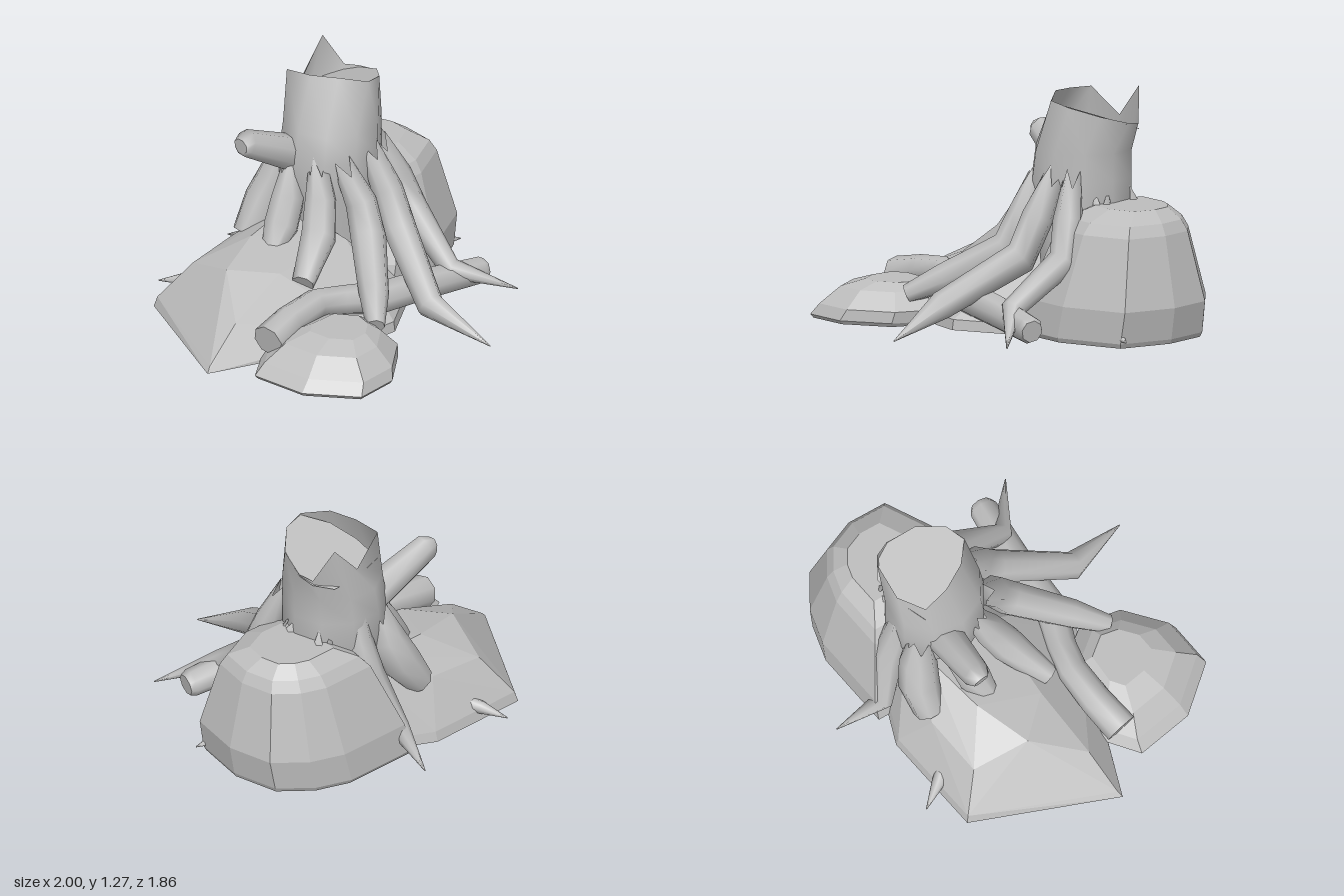
import * as THREE from 'three';
import { ConvexGeometry } from 'three/addons/geometries/ConvexGeometry.js';

const V = (p) => new THREE.Vector3(...p);

// Smooth skin through rings of equal point count; optional flat end caps
function loft(rings, capStart, capEnd) {
  const n = rings[0].length, pos = [], idx = [];
  rings.forEach((r) => r.forEach((p) => pos.push(p.x, p.y, p.z)));
  for (let i = 0; i < rings.length - 1; i++) {
    for (let j = 0; j < n; j++) {
      const a = i * n + j, b = i * n + (j + 1) % n;
      idx.push(a, b, a + n, b, b + n, a + n);
    }
  }
  const cap = (ring, flip) => {
    const s = pos.length / 3, c = new THREE.Vector3();
    ring.forEach((p) => { pos.push(p.x, p.y, p.z); c.addScaledVector(p, 1 / n); });
    pos.push(c.x, c.y, c.z);
    for (let j = 0; j < n; j++) {
      const k = (j + 1) % n;
      if (flip) idx.push(s + n, s + k, s + j); else idx.push(s + n, s + j, s + k);
    }
  };
  if (capStart) cap(rings[0], true);
  if (capEnd) cap(rings[rings.length - 1], false);
  const g = new THREE.BufferGeometry();
  g.setAttribute('position', new THREE.Float32BufferAttribute(pos, 3));
  g.setIndex(idx);
  g.computeVertexNormals();
  return g;
}

// Tapered limb along [x, y, z, radius] points; jag makes a torn first ring
function limb(path, jag = 0, sides = 8) {
  const pts = path.map((p) => V(p.slice(0, 3)));
  let u = new THREE.Vector3(0.3, 0.2, 1);
  const rings = pts.map((p, i) => {
    const d = pts[Math.min(i + 1, pts.length - 1)].clone().sub(pts[Math.max(i - 1, 0)]).normalize();
    u = u.clone().addScaledVector(d, -u.dot(d)).normalize();
    const v = d.clone().cross(u);
    return Array.from({ length: sides }, (_, j) => {
      const a = j / sides * Math.PI * 2, r = path[i][3];
      const q = p.clone().addScaledVector(u, r * Math.cos(a)).addScaledVector(v, r * Math.sin(a));
      return i === 0 && jag ? q.addScaledVector(d, j % 2 ? jag * 0.5 : -jag) : q;
    });
  });
  return loft(rings, !jag, true);
}

// Rock from one outline, stacked as [y, scale, shift x, shift z] layers around a centre
function layeredRock(outline, cx, cz, layers) {
  const pts = [];
  for (const [y, s, dx = 0, dz = 0] of layers) {
    for (const [x, z] of outline) pts.push(V([cx + dx + (x - cx) * s, y, cz + dz + (z - cz) * s]));
  }
  return new ConvexGeometry(pts);
}

export function createModel() {
  const group = new THREE.Group();
  const grey = new THREE.MeshStandardMaterial({ color: 0xbdbdbd, side: THREE.DoubleSide });
  grey.name = 'plain grey';
  const add = (name, geometry) => {
    const m = new THREE.Mesh(geometry, grey);
    m.name = name;
    group.add(m);
  };

  // Trunk with a broken, leaning rim, from the rim down
  const rim = [
    [0.555, 1.11, -0.33], [0.52, 1.155, -0.17], [0.41, 1.2, -0.05], [0.29, 1.225, -0.02], [0.18, 1.25, -0.13],
    [0.12, 1.24, -0.27], [0.1, 1.23, -0.42], [0.28, 1.1, -0.47], [0.44, 1.28, -0.48], [0.53, 1.1, -0.41],
  ].map(V);
  const ring = (cx, cz, r, y) => rim.map((_, j) => {
    const a = j / rim.length * Math.PI * 2;
    return V([cx + r * Math.cos(a), y, cz + r * Math.sin(a)]);
  });
  add('trunk', loft([
    rim, ring(0.265, -0.25, 0.262, 0.95), ring(0.25, -0.25, 0.272, 0.8),
    ring(0.25, -0.25, 0.272, 0.6), ring(0.26, -0.23, 0.22, 0.4), ring(0.27, -0.22, 0.2, 0.08),
  ]));
  // Broken wood inside the rim, sloping down to the back
  add('trunkTop', loft([rim.map((p) => V([p.x, 1.215 + 0.37 * (p.z + 0.02), p.z]))], true, false));

  // Broken side branch
  add('branch', limb([
    [0.1, 0.765, -0.33, 0.1], [0, 0.815, -0.34, 0.095], [-0.27, 0.955, -0.37, 0.073], [-0.31, 0.95, -0.37, 0.045],
  ]));

  // Roots
  const roots = {
    frontRoot: [[0.31, 0.8, -0.01, 0.06], [0.32, 0.62, 0.09, 0.085], [0.31, 0.42, 0.19, 0.09],
      [0.13, 0.18, 0.57, 0.075], [0.2, 0.04, 0.93, 0.003]],
    frontLeftRoot: [[0.43, 0.8, -0.05, 0.05], [0.48, 0.62, 0.01, 0.08], [0.53, 0.42, 0.08, 0.08],
      [0.49, 0.19, 0.38, 0.06], [0.76, 0.05, 0.61, 0.003]],
    frontRightRoot: [[0.13, 0.76, -0.03, 0.06], [0.15, 0.6, 0.06, 0.085], [0.12, 0.43, 0.14, 0.095],
      [-0.1, 0.27, 0.38, 0.08], [-0.24, 0.18, 0.52, 0.05]],
    rightRoot: [[0.04, 0.76, -0.14, 0.05], [0, 0.61, -0.09, 0.085], [-0.08, 0.45, -0.03, 0.095],
      [-0.31, 0.3, 0.07, 0.06]],
    rightBackRoot: [[0.02, 0.72, -0.3, 0.06], [-0.03, 0.58, -0.29, 0.09], [-0.11, 0.44, -0.27, 0.095],
      [-0.23, 0.32, -0.24, 0.05]],
    backRightRoot: [[0.11, 0.74, -0.45, 0.06], [0.09, 0.6, -0.48, 0.1], [0.03, 0.45, -0.52, 0.11],
      [-0.08, 0.29, -0.54, 0.08]],
    backRoot: [[0.27, 0.85, -0.45, 0.04], [0.27, 0.66, -0.47, 0.075], [0.26, 0.46, -0.54, 0.09],
      [0.15, 0.15, -0.66, 0.055], [0.2, 0.04, -0.93, 0.003]],
    leftBackRoot: [[0.45, 0.68, -0.39, 0.05], [0.48, 0.58, -0.41, 0.08], [0.52, 0.4, -0.42, 0.08]],
    leftRoot: [[0.48, 0.68, -0.2, 0.05], [0.52, 0.58, -0.17, 0.08], [0.7, 0.2, -0.1, 0.07],
      [0.9, 0.06, -0.02, 0.025], [0.98, 0.045, 0, 0.003]],
  };
  for (const [name, path] of Object.entries(roots)) add(name, limb(path, 0.07));
  // Root tip showing behind the low rock
  add('rootTip', limb([[-0.32, 0.1, -0.62, 0.04], [-0.37, 0.08, -0.7, 0.035], [-0.44, 0.05, -0.83, 0.003]]));

  // Fallen log lying across the front
  add('fallenLog', limb([
    [-0.74, 0.18, 0.22, 0.09], [-0.55, 0.22, 0.2, 0.085], [-0.35, 0.245, 0.2, 0.08], [-0.2, 0.22, 0.24, 0.08],
    [0, 0.19, 0.33, 0.09], [0.35, 0.15, 0.355, 0.085], [0.68, 0.115, 0.405, 0.075], [0.71, 0.11, 0.41, 0.06],
  ]));

  // Rocks
  add('tallRock', layeredRock(
    [[1, -0.3], [0.96, 0], [0.62, 0.16], [0.3, 0.165], [0.14, 0], [0.1, -0.35], [0.14, -0.72], [0.57, -0.74],
      [0.76, -0.68], [0.93, -0.55]],
    0.6, -0.3, [[0.005, 0.97, -0.03], [0.03, 1, -0.03], [0.2, 0.98, 0.008], [0.57, 0.72, 0.03],
      [0.63, 0.63, 0.035], [0.69, 0.4, 0.04, -0.02]]));
  add('smallRock', layeredRock(
    [[-0.88, 0.25], [-0.86, 0.57], [-0.68, 0.83], [-0.43, 0.82], [-0.2, 0.65], [-0.13, 0.42], [-0.3, 0.15], [-0.7, 0.13]],
    -0.48, 0.45, [[0.02, 0.95], [0.04, 0.99], [0.1, 0.92, 0.03], [0.19, 0.66, 0.03], [0.23, 0.4, 0.06]]));
  const base = [[-0.62, -0.7], [-0.05, -0.73], [0.2, -0.62], [0.4, -0.2], [0.38, 0.2], [0.02, 0.42], [-0.15, 0.4], [-0.7, 0.13]];
  add('lowRock', new ConvexGeometry([
    [-1, 0.02, 0.03], [-0.97, 0.05, 0.02],
    ...base.flatMap(([x, z]) => [[x, 0.015, z], [x * 0.98, 0.07, z * 0.98]]),
    [-0.55, 0.36, -0.25], [-0.25, 0.41, -0.35], [0.1, 0.44, -0.4], [-0.38, 0.35, -0.03], [0.1, 0.38, 0],
    [-0.15, 0.3, -0.57], [0.18, 0.38, -0.5], [-0.75, 0.21, 0], [-0.48, 0.27, -0.55],
  ].map(V)));

  return group;
}
